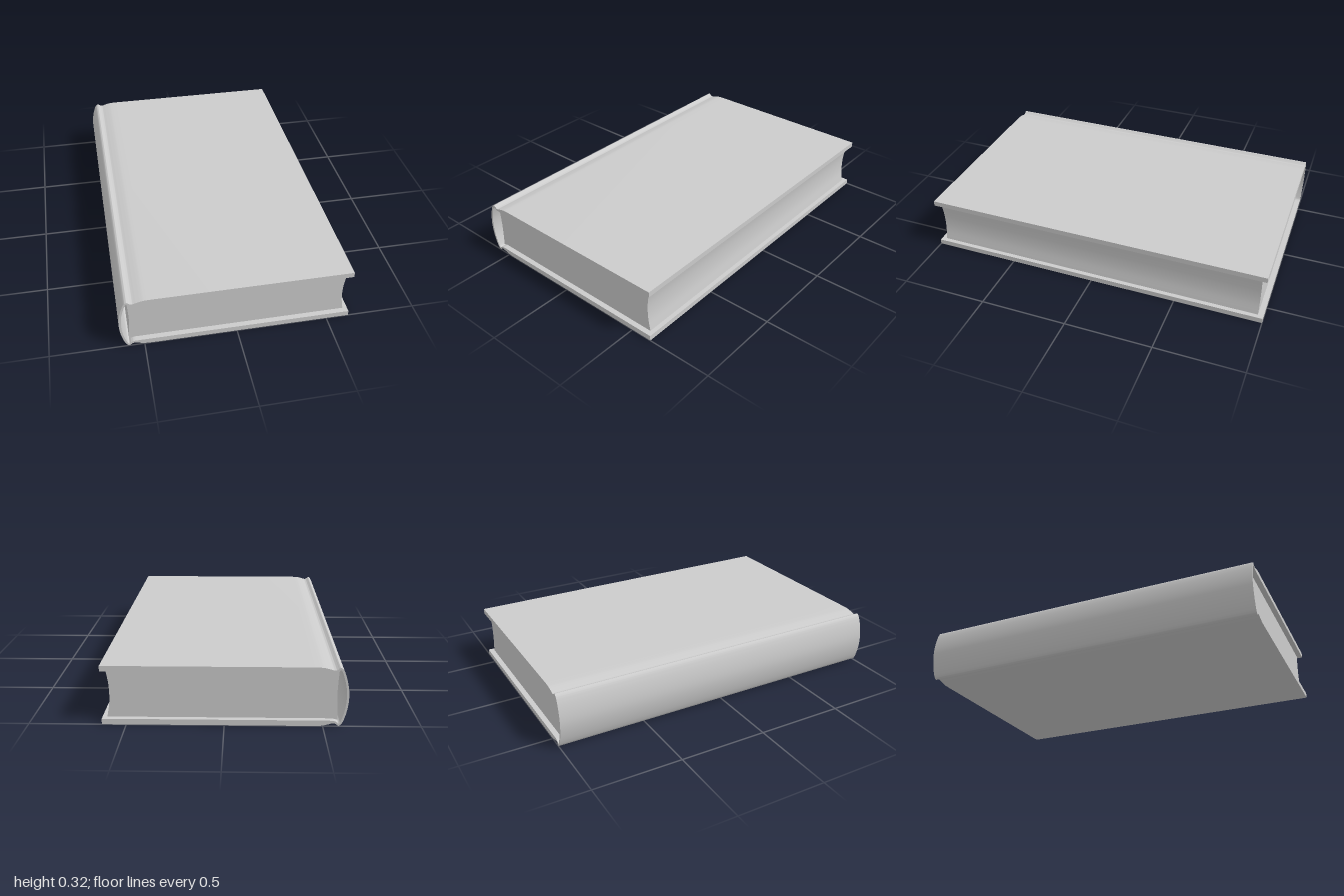
import * as THREE from 'three';
import { toCreasedNormals } from 'three/addons/utils/BufferGeometryUtils.js';

const MID = 0.158; // half of the book's thickness
const material = new THREE.MeshStandardMaterial({ color: 0xcccccc });

// Smooth curve through points given from the spine middle upward, mirrored below
function mirroredCurve(half, samples) {
  const lower = half.slice(1).reverse().map(([x, y]) => [x, 2 * MID - y]);
  const points = [...lower, ...half].map(([x, y]) => new THREE.Vector3(x, y, 0));
  return new THREE.CatmullRomCurve3(points, false, 'centripetal')
    .getPoints(samples).map((p) => new THREE.Vector2(p.x, p.y));
}

// Profile extruded along z and centred
function extrudeProfile(name, outline, length) {
  const geometry = new THREE.ExtrudeGeometry(new THREE.Shape(outline), {
    depth: length, bevelEnabled: false, steps: 1,
  });
  geometry.translate(0, 0, -length / 2);
  const mesh = new THREE.Mesh(toCreasedNormals(geometry, 0.6), material);
  mesh.name = name;
  return mesh;
}

export function createModel() {
  const book = new THREE.Group();
  book.name = 'book';

  // Hard cover: rounded spine, hinge grooves and two boards in one profile
  const outer = mirroredCurve([
    [-0.628, MID], [-0.622, 0.22], [-0.606, 0.28], [-0.592, 0.307], [-0.579, 0.314],
    [-0.568, 0.306], [-0.555, 0.300], [-0.53, 0.306], [-0.495, 0.314], [-0.45, 0.316],
  ], 108);
  const inner = mirroredCurve([
    [-0.616, MID], [-0.611, 0.218], [-0.596, 0.275], [-0.586, 0.298], [-0.579, 0.302],
    [-0.573, 0.296], [-0.558, 0.288], [-0.53, 0.286],
  ], 84);
  const edge = 0.625;
  const cover = [
    new THREE.Vector2(edge, 0), ...outer, new THREE.Vector2(edge, 0.316),
    new THREE.Vector2(edge, 0.286), ...inner.reverse(), new THREE.Vector2(edge, 0.03),
  ];
  book.add(extrudeProfile('cover', cover, 2));

  // Page block: hollow fore edge and slightly hollow back
  const back = mirroredCurve([[-0.572, MID], [-0.574, 0.22], [-0.579, 0.294]], 20);
  const foreEdge = mirroredCurve([[0.585, MID], [0.588, 0.215], [0.6, 0.286]], 20);
  const pages = [
    ...back, new THREE.Vector2(-0.55, 0.286), ...foreEdge.reverse(), new THREE.Vector2(-0.55, 0.03),
  ];
  book.add(extrudeProfile('pages', pages, 1.94));

  return book;
}
